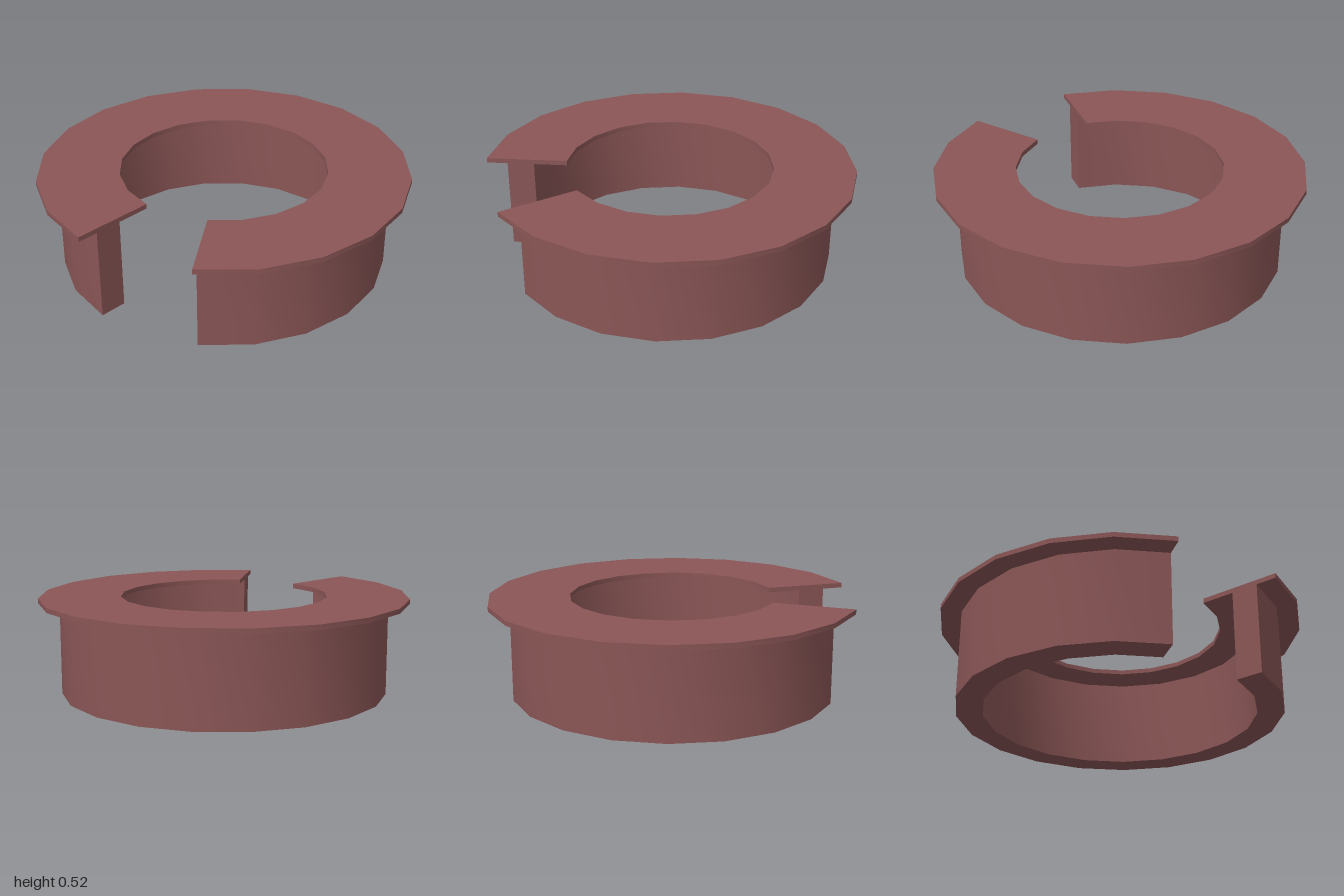
import * as THREE from 'three';
import { mergeGeometries, toCreasedNormals } from 'three/addons/utils/BufferGeometryUtils.js';

const SIDES = 18; // eighteen 18-degree steps, leaving a two-step doorway
const SWEEP = (SIDES * Math.PI) / 10;

// Flat end wall closing the ring at angle phi
function endCap(profile, phi, flip) {
  const cap = new THREE.ShapeGeometry(new THREE.Shape(profile));
  if (flip) cap.setIndex(Array.from(cap.index.array).reverse());
  return cap.rotateY(phi - Math.PI / 2).toNonIndexed();
}

// Open ring of rectangular section, with both ends closed
function openRing(inner, outer, bottom, top) {
  const profile = [[inner, bottom], [outer, bottom], [outer, top], [inner, top]]
    .map(([r, y]) => new THREE.Vector2(r, y));
  const ring = new THREE.LatheGeometry([...profile, profile[0]], SIDES, 0, SWEEP).toNonIndexed();
  const merged = mergeGeometries([ring, endCap(profile, 0, false), endCap(profile, SWEEP, true)]);
  return toCreasedNormals(merged, 0.6);
}

export function createModel() {
  const group = new THREE.Group();
  group.name = 'roundCounter';
  const wood = new THREE.MeshStandardMaterial({ name: 'reddish brown', color: 0x8b5656 });

  // Curved wall under the counter
  const base = new THREE.Mesh(openRing(0.741, 0.887, 0, 0.497), wood);
  base.name = 'counterWall';

  // Overhanging top slab
  const slab = new THREE.Mesh(openRing(0.56, 1, 0.497, 0.523), wood);
  slab.name = 'counterTop';

  group.add(base, slab);
  return group;
}
